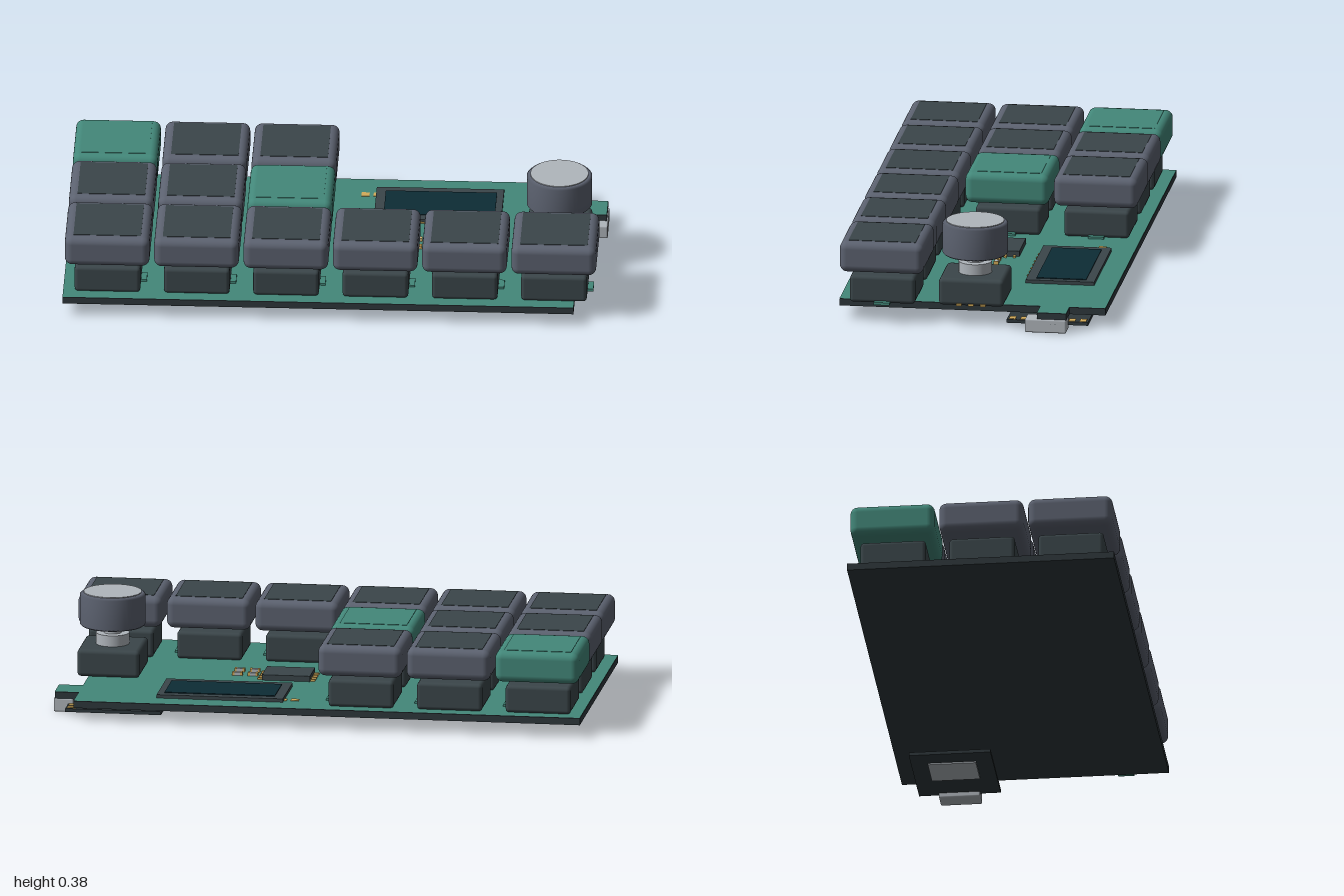
import * as THREE from 'three';
import { RoundedBoxGeometry } from 'three/addons/geometries/RoundedBoxGeometry.js';

const paint = (name, color) => Object.assign(new THREE.MeshStandardMaterial({ color }), { name });

export function createModel() {
  const green = paint('board green', 0x43887a);
  const dark = paint('dark plastic', 0x3b464a);
  const edge = paint('board edge', 0x2f383c);
  const grey = paint('keycap grey', 0x5c6270);
  const silver = paint('metal', 0xb0b6bc);
  const gold = paint('gold contact', 0xd4ac5a);
  const glass = paint('display glass', 0x0d2c35);

  const model = new THREE.Group();
  model.name = 'macroPad';

  const put = (parent, name, geometry, material, x, y, z) => {
    const mesh = new THREE.Mesh(geometry, material);
    mesh.name = name;
    mesh.position.set(x, y, z);
    parent.add(mesh);
    return mesh;
  };
  // Box given by its extents on each axis
  const box = (parent, name, material, [x0, x1], [y0, y1], [z0, z1]) =>
    put(parent, name, new THREE.BoxGeometry(x1 - x0, y1 - y0, z1 - z0), material,
      (x0 + x1) / 2, (y0 + y1) / 2, (z0 + z1) / 2);
  const group = (name, x = 0, z = 0) => {
    const g = new THREE.Group();
    g.name = name;
    g.position.set(x, 0, z);
    model.add(g);
    return g;
  };

  // Circuit board with a tab above the connector; only the top face is green
  const outline = new THREE.Shape([
    [-1, -0.5], [0.905, -0.5], [0.905, 0.255], [0.995, 0.255],
    [0.995, 0.365], [0.905, 0.365], [0.905, 0.5], [-1, 0.5],
  ].map(([x, y]) => new THREE.Vector2(x, y)));
  const slab = new THREE.ExtrudeGeometry(outline, { depth: 0.026, bevelEnabled: false });
  put(model, 'circuitBoard', slab, edge, 0, 0.05, 0).rotation.x = -Math.PI / 2;
  put(model, 'boardTop', new THREE.ShapeGeometry(outline), green, 0, 0.078, 0).rotation.x = -Math.PI / 2;

  // Keys: switch housing, rounded cap, dished top plate
  const capGeometry = new RoundedBoxGeometry(0.316, 0.118, 0.316, 3, 0.028);
  const plateGeometry = new THREE.BoxGeometry(0.252, 0.006, 0.252);
  const housingGeometry = new RoundedBoxGeometry(0.245, 0.104, 0.245, 2, 0.014);
  const column = i => -0.835 + i * 0.333;
  const rows = [
    { z: -0.333, count: 3, accent: 0 },
    { z: 0, count: 3, accent: 2 },
    { z: 0.333, count: 6, accent: -1 },
  ];
  for (const { z, count, accent } of rows) {
    for (let i = 0; i < count; i++) {
      const key = group('key', column(i), z);
      const coloured = i === accent;
      put(key, 'switchHousing', housingGeometry, dark, 0, 0.129, 0);
      box(key, 'switchFoot', green, [0.1, 0.143], [0.076, 0.086], [-0.03, 0.03]);
      put(key, 'keycap', capGeometry, coloured ? green : grey, 0, 0.259, 0);
      put(key, 'keycapTop', plateGeometry, coloured ? green : dark, 0, 0.3165, 0);
    }
  }

  // Rotary encoder with knob
  const encoder = group('rotaryEncoder', 0.83, 0);
  put(encoder, 'encoderBase', new RoundedBoxGeometry(0.235, 0.104, 0.245, 2, 0.016), dark, 0, 0.129, 0);
  put(encoder, 'bushing', new THREE.CylinderGeometry(0.062, 0.062, 0.046, 32), silver, 0, 0.2, 0);
  put(encoder, 'shaft', new THREE.CylinderGeometry(0.033, 0.033, 0.05, 24), silver, 0, 0.235, 0);
  const knobProfile = [[0, 0.252], [0.116, 0.252], [0.122, 0.258], [0.122, 0.37], [0.113, 0.378], [0, 0.378]];
  put(encoder, 'knob', new THREE.LatheGeometry(
    knobProfile.map(([r, y]) => new THREE.Vector2(r, y)), 48), grey, 0, 0, 0);
  put(encoder, 'knobCap', new THREE.CylinderGeometry(0.108, 0.108, 0.005, 48), silver, 0, 0.3785, 0);
  for (const z of [-0.045, 0, 0.045]) {
    box(encoder, 'encoderPin', gold, [0.1, 0.122], [0.078, 0.086], [z - 0.01, z + 0.01]);
  }

  // Display module with its row of solder pins
  const display = group('display');
  box(display, 'displayFrame', dark, [0.13, 0.605], [0.078, 0.091], [-0.415, -0.158]);
  box(display, 'displayGlass', glass, [0.165, 0.58], [0.089, 0.094], [-0.382, -0.195]);
  for (let i = 0; i < 7; i++) {
    const x = 0.215 + i * 0.048;
    box(display, 'displayPin', gold, [x - 0.008, x + 0.008], [0.077, 0.082], [-0.159, -0.15]);
  }

  // Chip with legs on both sides
  const chip = group('chip', 0.166, -0.017);
  box(chip, 'chipBody', dark, [-0.09, 0.09], [0.079, 0.1], [-0.068, 0.068]);
  for (const side of [-1, 1]) {
    for (let i = 0; i < 4; i++) {
      box(chip, 'chipLeg', gold, [side * 0.098 - 0.01, side * 0.098 + 0.01],
        [0.077, 0.085], [-0.056 + i * 0.034, -0.046 + i * 0.034]);
    }
  }

  // Small resistors with gold ends, and bare pads
  for (const x of [0.3, 0.358]) {
    for (const z of [-0.014, 0.046]) {
      const part = group('resistor', x, z);
      box(part, 'resistorBody', silver, [-0.011, 0.011], [0.077, 0.09], [-0.008, 0.008]);
      for (const s of [-1, 1]) {
        box(part, 'resistorEnd', gold, [s * 0.015 - 0.004, s * 0.015 + 0.004], [0.077, 0.091], [-0.009, 0.009]);
      }
    }
  }
  for (const x of [0.09, 0.135]) {
    box(model, 'solderPad', gold, [x - 0.015, x + 0.015], [0.077, 0.08], [-0.39, -0.36]);
  }

  // Controller module below the board, with shield and connector
  const controller = group('controller');
  box(controller, 'controllerBoard', edge, [0.585, 0.945], [0.019, 0.032], [-0.44, -0.134]);
  box(controller, 'controllerShield', silver, [0.66, 0.805], [0.013, 0.02], [-0.377, -0.197]);
  for (const z of [-0.42, -0.378, -0.196, -0.154]) {
    box(controller, 'controllerPad', gold, [0.905, 0.94], [0.031, 0.034], [z - 0.012, z + 0.012]);
  }
  put(controller, 'connector', new RoundedBoxGeometry(0.075, 0.052, 0.155, 2, 0.006), silver, 0.9625, 0.026, -0.287);
  box(controller, 'connectorSlot', edge, [0.995, 1.0], [0.016, 0.036], [-0.34, -0.234]);

  return model;
}
